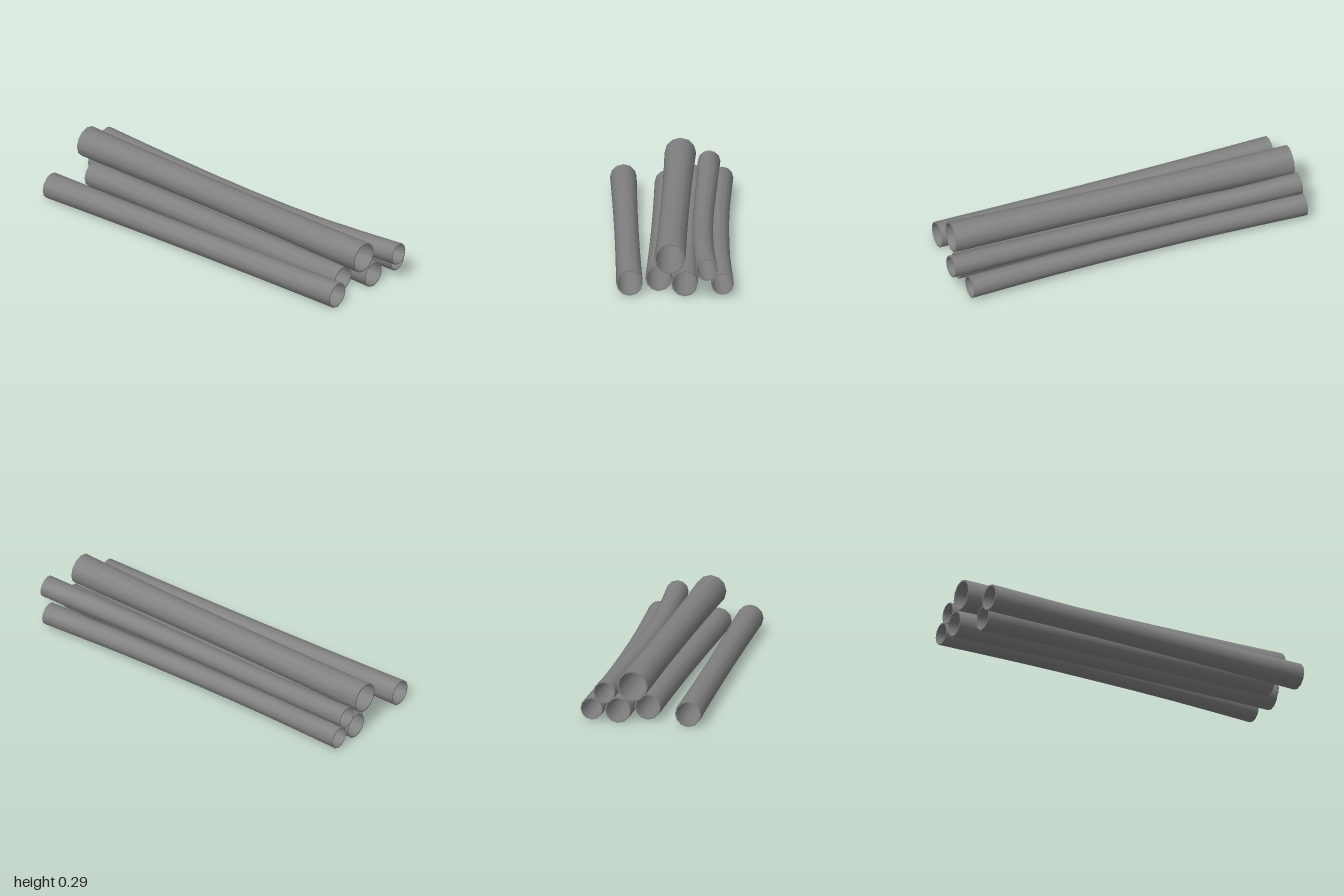
import * as THREE from 'three';
import { mergeGeometries } from 'three/addons/utils/BufferGeometryUtils.js';

const SIDES = 12, STEPS = 8, WALL = 0.1, WAIST = 0.09;

// Grid surface from rings of points; each ring has SIDES + 1 points
function skin(rings) {
  const cols = SIDES + 1, index = [];
  for (let i = 0; i < rings.length - 1; i++) {
    for (let j = 0; j < SIDES; j++) {
      const a = i * cols + j, b = a + cols;
      index.push(a, a + 1, b, b, a + 1, b + 1);
    }
  }
  const geo = new THREE.BufferGeometry().setFromPoints(rings.flat());
  geo.setIndex(index);
  geo.computeVertexNormals();
  // Blend the normals across the seam
  const n = geo.attributes.normal;
  for (let i = 0; i < rings.length; i++) {
    const a = new THREE.Vector3().fromBufferAttribute(n, i * cols);
    const b = new THREE.Vector3().fromBufferAttribute(n, i * cols + SIDES);
    a.add(b).normalize();
    n.setXYZ(i * cols, a.x, a.y, a.z);
    n.setXYZ(i * cols + SIDES, a.x, a.y, a.z);
  }
  return geo;
}

// Hollow pipe along a path from back to front, slightly narrower in the middle
function pipeGeometry(points, radius) {
  const curve = new THREE.CatmullRomCurve3(points.map(p => new THREE.Vector3(...p)));
  const outer = [], inner = [];
  for (let i = 0; i <= STEPS; i++) {
    const t = i / STEPS, s = 2 * t - 1;
    const centre = curve.getPointAt(t), dir = curve.getTangentAt(t);
    const right = new THREE.Vector3(0, 1, 0).cross(dir).normalize();
    const up = dir.clone().cross(right);
    const r = radius * (1 - WAIST * (1 - s * s));
    const ring = rad => Array.from({ length: SIDES + 1 }, (_, j) => {
      const a = (j % SIDES) / SIDES * Math.PI * 2;
      return centre.clone().addScaledVector(right, Math.cos(a) * rad).addScaledVector(up, Math.sin(a) * rad);
    });
    outer.push(ring(r));
    inner.push(ring(r - radius * WALL));
  }
  // Outer wall, inner wall, front rim, back rim
  return mergeGeometries([
    skin(outer),
    skin([...inner].reverse()),
    skin([outer[STEPS], inner[STEPS]]),
    skin([inner[0], outer[0]]),
  ]);
}

export function createModel() {
  const group = new THREE.Group();
  const material = new THREE.MeshStandardMaterial({ color: 0x808080 });

  const pipes = [
    ['topPipe', 0.084, [[0.016, 0.207, -1], [0.016, 0.207, 0.923]]],
    ['bottomCentreRightPipe', 0.071, [[-0.047, 0.071, -0.905], [-0.047, 0.071, 0.83]]],
    ['bottomCentreLeftPipe', 0.071, [[0.094, 0.071, -1], [0.094, 0.071, 0.923]]],
    // Loose pipe lying askew
    ['loosePipe', 0.071, [[-0.287, 0.071, -0.997], [-0.199, 0.071, 0.92]]],
    // Bent pipes
    ['bottomBentPipe', 0.061, [[0.237, 0.071, -1], [0.239, 0.071, -0.4], [0.249, 0.071, 0],
      [0.264, 0.071, 0.4], [0.296, 0.071, 0.921]]],
    ['upperBentPipe', 0.06, [[0.169, 0.163, -0.998], [0.167, 0.153, -0.5], [0.166, 0.149, 0],
      [0.18, 0.153, 0.5], [0.215, 0.17, 0.998]]],
  ];
  for (const [name, radius, path] of pipes) {
    const mesh = new THREE.Mesh(pipeGeometry(path, radius), material);
    mesh.name = name;
    group.add(mesh);
  }
  return group;
}
